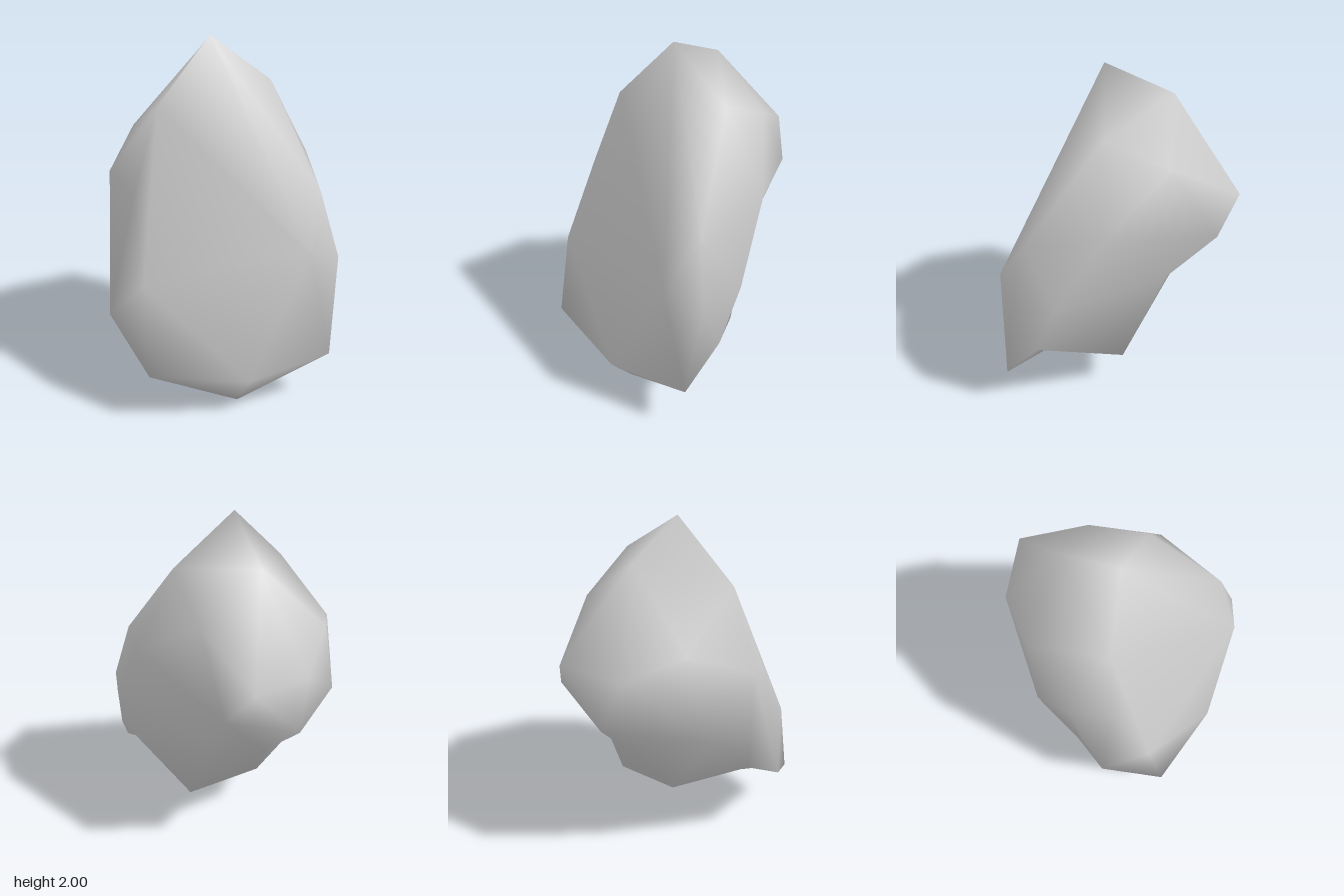
import * as THREE from 'three';
import { ConvexGeometry } from 'three/addons/geometries/ConvexGeometry.js';

const stoneGrey = new THREE.MeshStandardMaterial({ color: 0xcccccc });
stoneGrey.name = 'stoneGrey';

// Corners of the boulder, grouped by region
const crown = [[0, 2, 0.05], [0.04, 1.84, -0.31], [0.35, 1.74, 0.07], [-0.32, 1.65, 0.11]];
const leftFlank = [[0.37, 1.57, -0.28], [0.59, 1.3, 0.07], [0.635, 0.88, 0.33], [0.59, 0.55, 0.45]];
const rightFlank = [[-0.555, 1.27, -0.05], [-0.46, 0.93, -0.29], [-0.64, 0.5, 0.17]];
const frontFace = [[0.48, 1.2, 0.48], [0.56, 0.84, 0.57], [0.36, 0.91, 0.64], [-0.51, 0.77, 0.42]];
const backFace = [[-0.33, 1.43, -0.364], [-0.085, 1.32, -0.6], [0.26, 1.35, -0.66],
  [0.37, 1.15, -0.54], [0, 1.04, -0.67]];
const foot = [[0.5, 0.28, 0.64], [-0.52, 0.28, 0.525], [0, 0.22, 0.67], [0, 0, 0.5],
  [0.36, 0.25, -0.04], [-0.07, 0.31, -0.1]];
// Hollows: left flank, back, right flank (two), underside notch (two)
const hollows = [[0.34, 0.85, -0.28], [0.04, 0.72, -0.38], [-0.48, 1.2, 0.17], [-0.54, 0.62, -0.02],
  [0.37, 0.36, 0.37], [-0.05, 0.36, 0.16]];

const toVectors = (...groups) => groups.flat().map((c) => new THREE.Vector3(...c));

// Skins the corners by wrapping them on a near-sphere; hollows are lifted so they stay in the skin
function skin(ridges, dents) {
  const centre = new THREE.Vector3(0, 0.92, 0.07);
  const axis = new THREE.Vector3(0, 0.9, -0.43).normalize();
  const points = [...ridges, ...dents];
  const wrapped = points.map((p, i) => {
    const q = p.clone().sub(centre);
    q.addScaledVector(axis, -0.4 * q.dot(axis));
    return q.setLength(i < ridges.length ? Math.pow(q.length(), 0.2) : 0.93);
  });
  const hull = new ConvexGeometry(wrapped).getAttribute('position');
  const index = [];
  const v = new THREE.Vector3();
  for (let i = 0; i < hull.count; i++) {
    v.fromBufferAttribute(hull, i);
    let best = 0;
    wrapped.forEach((w, j) => {
      if (w.distanceToSquared(v) < wrapped[best].distanceToSquared(v)) best = j;
    });
    index.push(best);
  }
  const geometry = new THREE.BufferGeometry().setFromPoints(points);
  geometry.setIndex(index);
  geometry.computeVertexNormals();
  return geometry;
}

export function createModel() {
  const group = new THREE.Group();
  group.name = 'rock';
  const ridges = toVectors(crown, leftFlank, rightFlank, frontFace, backFace, foot);
  const boulder = new THREE.Mesh(skin(ridges, toVectors(hollows)), stoneGrey);
  boulder.name = 'boulder';
  group.add(boulder);
  return group;
}
